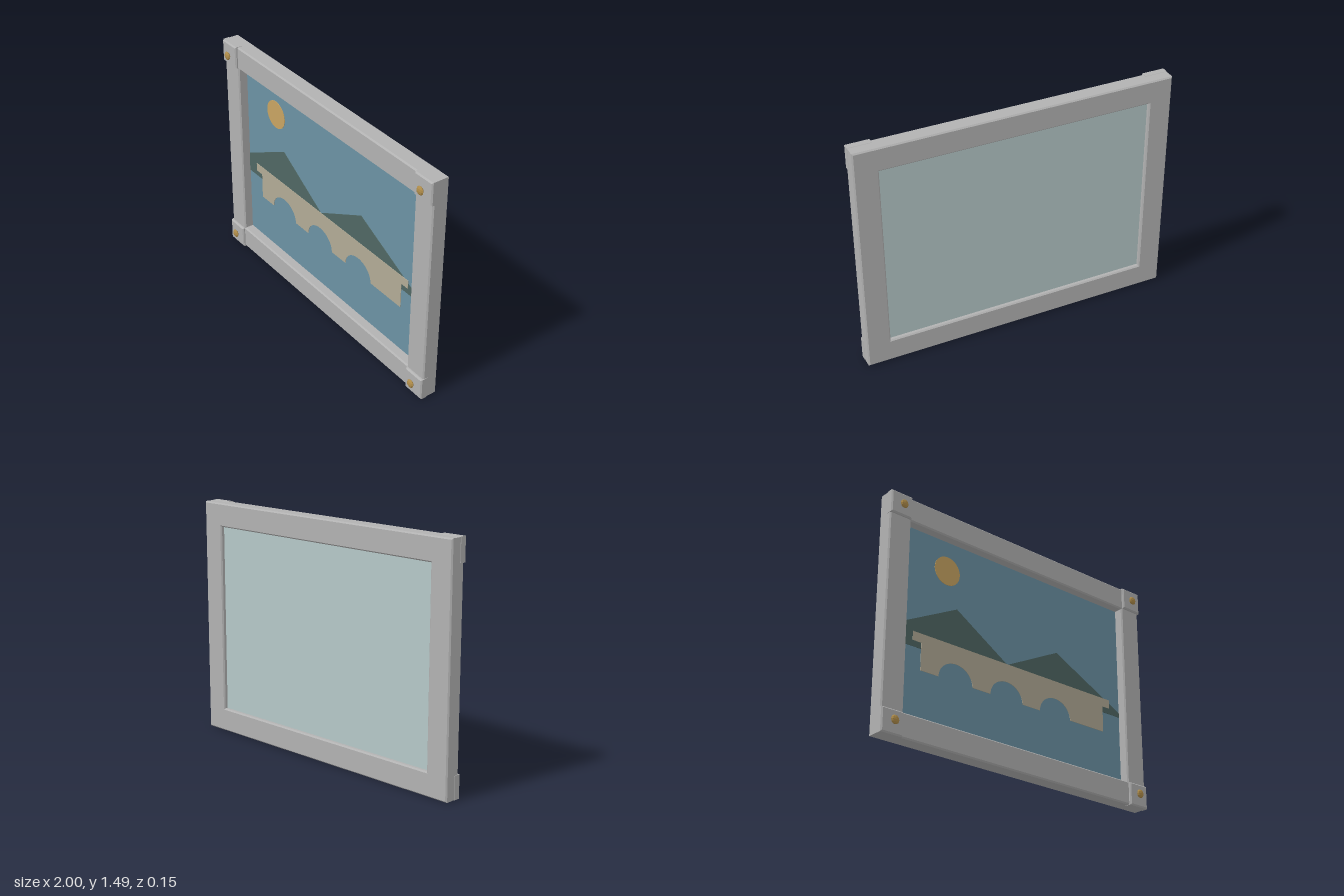
import * as THREE from 'three';

const W = 2, H = 1.49, CY = H / 2;

function material(name, color, extra = {}) {
  const m = new THREE.MeshStandardMaterial({ color, ...extra });
  m.name = name;
  return m;
}

function rectangle(target, w, h) {
  target.moveTo(-w / 2, -h / 2);
  target.lineTo(w / 2, -h / 2);
  target.lineTo(w / 2, h / 2);
  target.lineTo(-w / 2, h / 2);
  target.closePath();
  return target;
}

// Extrudes a shape from z0 to z1 with chamfered edges kept inside that range
function chamfered(shape, z0, z1, bevel) {
  const geo = new THREE.ExtrudeGeometry(shape, {
    depth: z1 - z0 - 2 * bevel, bevelEnabled: true, bevelSegments: 1,
    bevelSize: bevel, bevelThickness: bevel, bevelOffset: -bevel,
  });
  return geo.translate(0, 0, z0 + bevel);
}

export function createModel() {
  const group = new THREE.Group();
  const grey = material('frame grey', 0xb2b2b2);
  const brass = material('brass', 0xb08d4a, { flatShading: true });
  const blue = material('sky blue', 0x6b92a4);
  const green = material('hill green', 0x4f6763);
  const stone = material('bridge stone', 0xb2ab96);
  const gold = material('sun gold', 0xc8a462);
  const pale = material('backing pale', 0xb5c8c8);

  const add = (name, geo, mat, x = 0, y = 0, z = 0) => {
    const mesh = new THREE.Mesh(geo, mat);
    mesh.name = name;
    mesh.position.set(x, y, z);
    group.add(mesh);
    return mesh;
  };

  // Frame ring with chamfered inner and outer edges
  const ring = rectangle(new THREE.Shape(), W - 0.004, H - 0.004);
  ring.holes.push(rectangle(new THREE.Path(), 1.7, 1.19));
  add('frame', chamfered(ring, -0.073, 0.03, 0.008), grey, 0, CY);

  // Raised corner blocks with faceted studs
  const block = chamfered(rectangle(new THREE.Shape(), 0.145, 0.145), -0.01, 0.045, 0.008);
  const stud = new THREE.SphereGeometry(0.027, 8, 6).scale(1, 1, 0.45);
  for (const sx of [-1, 1]) {
    for (const sy of [-1, 1]) {
      const x = sx * (W / 2 - 0.0725), y = CY + sy * (CY - 0.0725);
      add('cornerBlock', block, grey, x, y);
      add('cornerStud', stud, brass, sx * 0.923, CY + sy * 0.667, 0.061);
    }
  }

  // Backing board and picture ground
  add('backingBoard', new THREE.BoxGeometry(1.72, 1.21, 0.014), pale, 0, CY, -0.041);
  add('sky', new THREE.BoxGeometry(1.72, 1.21, 0.004), blue, 0, CY, -0.032);

  // Painted layers, each a thin plate on the sky
  const plate = (name, shape, mat, z) => add(name,
    new THREE.ExtrudeGeometry(shape, { depth: 0.003, bevelEnabled: false, curveSegments: 24 }),
    mat, 0, 0, z);
  const points = (list) => new THREE.Shape(list.map(([x, y]) => new THREE.Vector2(x, y)));

  plate('hills', points([
    [-0.852, 0.59], [0.852, 0.59], [0.852, 0.617], [0.32, 0.88],
    [-0.075, 0.68], [-0.46, 0.92], [-0.852, 0.717],
  ]), green, -0.03);

  const sun = new THREE.Shape();
  sun.absarc(-0.537, 1.147, 0.092, 0, Math.PI * 2);
  plate('sun', sun, gold, -0.03);

  // Bridge outline: three arches along the foot, overhanging deck on top
  const bridge = new THREE.Shape();
  bridge.moveTo(-0.708, 0.457);
  for (const x of [-0.459, -0.08, 0.303]) {
    bridge.lineTo(x - 0.123, 0.457);
    bridge.absellipse(x, 0.457, 0.123, 0.11, Math.PI, 0, true);
  }
  for (const [x, y] of [[0.704, 0.457], [0.704, 0.627], [0.762, 0.627], [0.762, 0.683],
    [-0.768, 0.683], [-0.768, 0.627], [-0.708, 0.627]]) bridge.lineTo(x, y);
  bridge.closePath();
  plate('bridge', bridge, stone, -0.028);

  return group;
}
